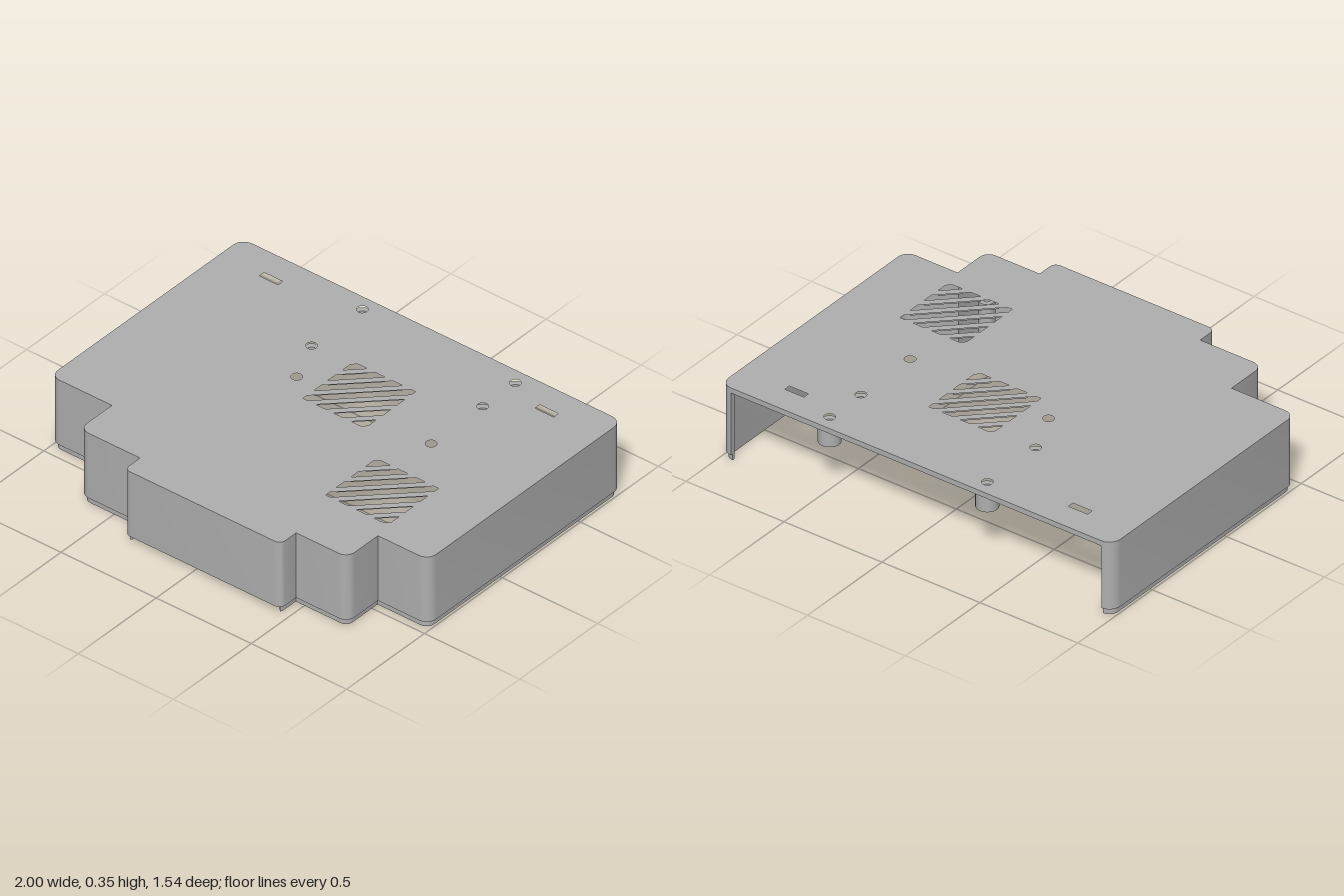
import * as THREE from 'three';
import { toCreasedNormals } from 'three/addons/utils/BufferGeometryUtils.js';

const grey = new THREE.MeshStandardMaterial({ color: 0xb0b0b0 });
grey.name = 'grey plastic';

const TOP = 0.355, PLATE = 0.33, RIM = 0.03, WALL = 0.022;

// stepped footprint as x, z, corner radius (0 = sharp inner corner)
const CORNERS = [
  [1, -0.77, 0.055], [1, 0.475, 0.05], [0.735, 0.475, 0], [0.735, 0.67, 0.045],
  [0.465, 0.67, 0], [0.465, 0.77, 0.03], [-0.355, 0.77, 0.03], [-0.355, 0.67, 0],
  [-0.675, 0.67, 0.05], [-0.675, 0.46, 0], [-1, 0.46, 0.05], [-1, -0.77, 0.055],
];

// one list of points per corner, with the footprint moved inwards by inset
function outline(inset) {
  const n = CORNERS.length;
  return CORNERS.map(([x, z, r], i) => {
    const p = new THREE.Vector2(x, z);
    const dir = (c) => new THREE.Vector2(c[0], c[1]).sub(p).normalize();
    const a = dir(CORNERS[(i + n - 1) % n]), b = dir(CORNERS[(i + 1) % n]);
    const inward = a.clone().add(b);
    if (!r) return [p.addScaledVector(inward, -inset)];
    const centre = p.clone().addScaledVector(inward, r);
    return Array.from({ length: 9 }, (_, k) => {
      const t = (k / 8) * Math.PI / 2;
      return centre.clone()
        .addScaledVector(b, -(r - inset) * Math.cos(t))
        .addScaledVector(a, -(r - inset) * Math.sin(t));
    });
  });
}

// plan points (x, z) to a shape that stands upright after extruding
const flip = (pts) => pts.map((p) => new THREE.Vector2(p.x, -p.y));

function slab(name, shape, y0, y1) {
  let geo = new THREE.ExtrudeGeometry(shape, { depth: y1 - y0, bevelEnabled: false, curveSegments: 24 });
  geo.rotateX(-Math.PI / 2).translate(0, y0, 0);
  geo = toCreasedNormals(geo, 0.5);
  const mesh = new THREE.Mesh(geo, grey);
  mesh.name = name;
  return mesh;
}

// open strip between two insets, using the corners chosen by pick
function strip(inner, outer, pick) {
  return new THREE.Shape(flip([...pick(outline(outer)), ...pick(outline(inner)).reverse()]));
}

function circle(x, z, r) {
  return new THREE.Path().absarc(x, -z, r, 0, Math.PI * 2, true);
}

function rectHole(x0, x1, z0, z1) {
  return new THREE.Path(flip([[x0, z0], [x1, z0], [x1, z1], [x0, z1]].map((p) => new THREE.Vector2(...p))));
}

// diagonal slots clipped to a square of side L
function ventSlots(x0, z0, L) {
  const pitch = 2 * L / 7, half = 0.025, holes = [];
  const ends = (u) => (u <= L ? [[0, u], [u, 0]] : [[u - L, L], [L, u - L]]);
  for (let k = 0; k < 7; k++) {
    const a = (k + 0.5) * pitch - half, b = a + 2 * half;
    const [a0, a1] = ends(a), [b0, b1] = ends(b);
    const cross = a < L && b > L;
    const pts = [a0, a1, ...(cross ? [[L, 0]] : []), b1, b0, ...(cross ? [[0, L]] : [])];
    holes.push(new THREE.Path(flip(pts.map(([x, z]) => new THREE.Vector2(x0 + x, z0 + z)))));
  }
  return holes;
}

function post(name, x, z, r, bore, y0) {
  const ring = new THREE.Shape();
  ring.absarc(x, -z, r, 0, Math.PI * 2, false);
  ring.holes.push(circle(x, z, bore));
  return slab(name, ring, y0, PLATE);
}

export function createModel() {
  const model = new THREE.Group();
  model.name = 'enclosureCover';

  // top plate with screw holes, strap slots and two vents
  const standoffs = [[-0.31, -0.7], [0.495, -0.7], [0.495, -0.49], [-0.31, -0.375]];
  const plainHoles = [[-0.22, -0.17], [0.497, -0.157]];
  const plate = new THREE.Shape(flip(outline(0).flat()));
  for (const [x, z] of [...standoffs, ...plainHoles]) plate.holes.push(circle(x, z, 0.024));
  plate.holes.push(rectHole(-0.78, -0.683, -0.645, -0.615), rectHole(0.668, 0.765, -0.645, -0.615));
  plate.holes.push(...ventSlots(-0.105, -0.395, 0.325), ...ventSlots(0.392, 0.065, 0.325));
  model.add(slab('topPlate', plate, PLATE, TOP));

  // side and front wall, open at the back
  model.add(slab('wall', strip(WALL, 0, (g) => g.flat()), RIM, PLATE));

  // inset rim under the wall, interrupted at the front centre
  const leftRim = (g) => [...g.slice(0, 5).flat(), ...g[5].slice(0, 5)];
  const rightRim = (g) => [...g[6].slice(4), ...g.slice(7).flat()];
  model.add(slab('leftRim', strip(WALL, WALL / 2, leftRim), 0, RIM));
  model.add(slab('rightRim', strip(WALL, WALL / 2, rightRim), 0, RIM));

  // short board standoffs and long screw posts
  for (const [x, z] of standoffs) model.add(post('standoff', x, z, 0.049, 0.024, 0.24));
  for (const [x, z] of [[0.54, 0.415], [0, 0.67], [-0.575, 0.585]]) {
    model.add(post('screwPost', x, z, 0.035, 0.014, 0.025));
  }
  return model;
}
